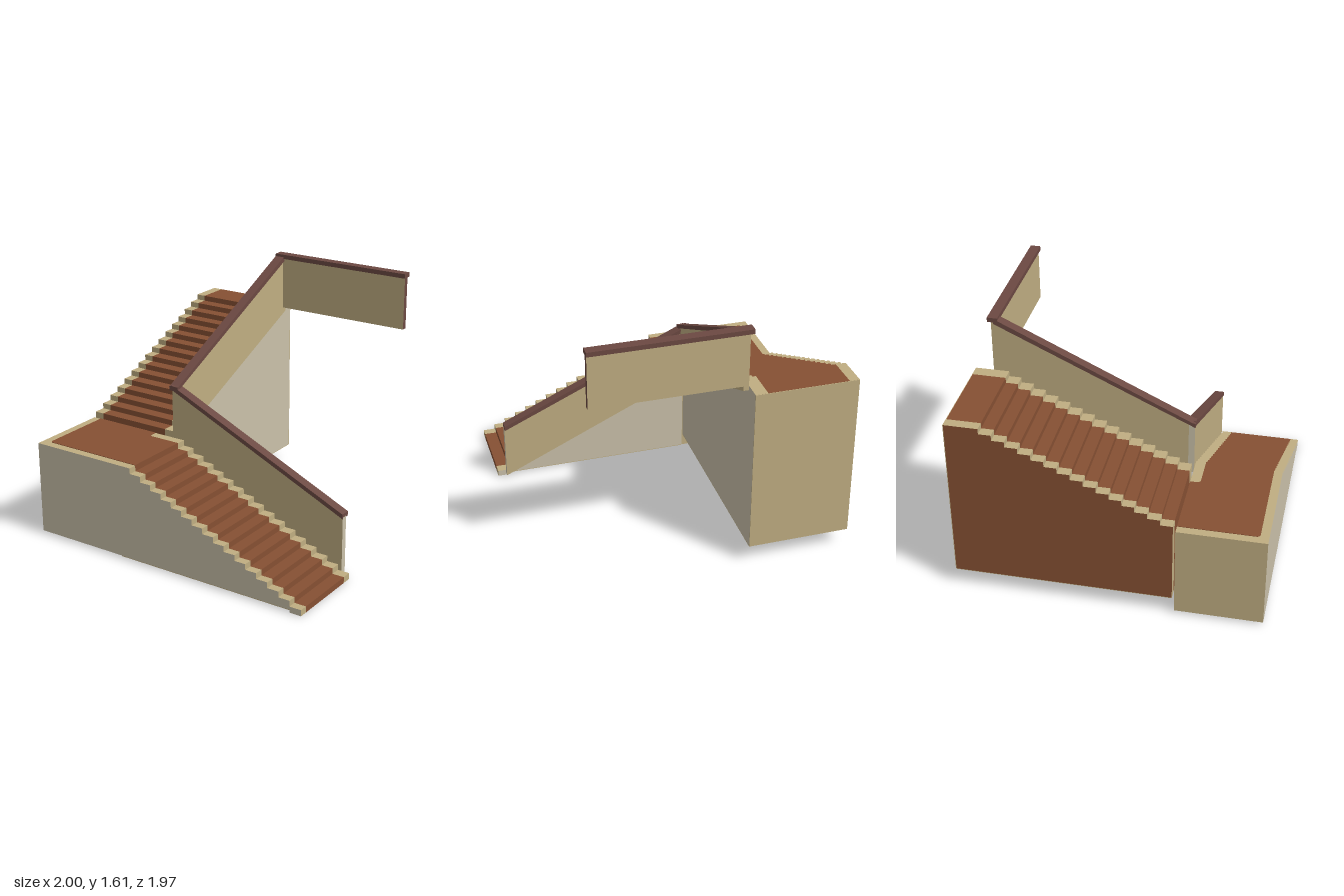
import * as THREE from 'three';

const mat = (name, color) => {
  const m = new THREE.MeshStandardMaterial({ color });
  m.name = name;
  return m;
};

export function createModel() {
  const group = new THREE.Group();
  const tan = mat('tan', 0xc0ae82);
  const carpet = mat('carpet brown', 0x865033);
  const stone = mat('pale stone', 0xcac1aa);
  const wood = mat('dark wood', 0x6c4942);

  const add = (name, geometry, material) => {
    const mesh = new THREE.Mesh(geometry, material);
    mesh.name = name;
    group.add(mesh);
    return mesh;
  };
  // box given by its limits
  const box = (name, x0, x1, y0, y1, z0, z1, material) => {
    const g = new THREE.BoxGeometry(x1 - x0, y1 - y0, z1 - z0);
    g.translate((x0 + x1) / 2, (y0 + y1) / 2, (z0 + z1) / 2);
    return add(name, g, material);
  };
  const toShape = (points) => new THREE.Shape(points.map(([a, b]) => new THREE.Vector2(a, b)));
  // profile in (x, y), extruded from z0 to z1
  const alongZ = (name, points, z0, z1, material) => {
    const g = new THREE.ExtrudeGeometry(toShape(points), { depth: z1 - z0, bevelEnabled: false });
    return add(name, g.translate(0, 0, z0), material);
  };
  // profile in (-z, y), extruded from x0 to x1
  const alongX = (name, points, x0, x1, material) => {
    const g = new THREE.ExtrudeGeometry(toShape(points), { depth: x1 - x0, bevelEnabled: false });
    return add(name, g.rotateY(Math.PI / 2).translate(x0, 0, 0), material);
  };

  const STEPS = 16;

  // Lower flight: descends towards +x
  const lower = [[-0.335, 0.02], [-0.335, 0.64]];
  for (let i = 0; i < STEPS; i++) {
    const x = -0.25 + 0.078 * i;
    lower.push([x, 0.64 - 0.0375 * i], [x, 0.64 - 0.0375 * (i + 1)]);
  }
  lower.push([1, 0.04], [1, 0], [0.92, 0], [0.92, 0.02]);
  alongZ('lowerStepsInnerBorder', lower, 0.425, 0.49, [stone, tan]);
  alongZ('lowerStepsCarpet', lower, 0.49, 0.93, carpet);
  alongZ('lowerStepsOuterBorder', lower, 0.93, 0.985, [stone, tan]);
  box('lowerFlightUnderside', -0.335, 0.92, 0.016, 0.02, 0.425, 0.985, tan);

  // Corner landing with its carpet
  box('landing', -1, -0.335, 0.02, 0.64, 0.425, 0.985, [stone, tan, tan, stone, stone, tan]);
  const rug = new THREE.Shape();
  rug.moveTo(-0.945, -0.425);
  rug.lineTo(-0.945, -0.915);
  rug.lineTo(-0.93, -0.93);
  rug.lineTo(-0.25, -0.93);
  rug.lineTo(-0.25, -0.49);
  rug.lineTo(-0.465, -0.49);
  rug.lineTo(-0.48, -0.475);
  rug.lineTo(-0.48, -0.425);
  const rugGeometry = new THREE.ExtrudeGeometry(rug, { depth: 0.003, bevelEnabled: false });
  add('landingCarpet', rugGeometry.rotateX(-Math.PI / 2).translate(0, 0.64, 0), carpet);

  // Upper flight: climbs towards the back
  const upper = [[-0.41, 0.12]];
  for (let i = 0; i < STEPS; i++) {
    const u = -0.41 + 0.0787 * i;
    upper.push([u, 0.64 + 0.03625 * i], [u, 0.64 + 0.03625 * (i + 1)]);
  }
  upper.push([0.985, 1.22], [0.985, 0.12]);
  alongX('upperStepsOuterBorder', upper, -1, -0.935, [carpet, tan]);
  alongX('upperStepsCarpet', upper, -0.935, -0.415, carpet);
  alongX('upperStepsInnerBorder', upper, -0.415, -0.335, [stone, tan]);
  box('upperFlightUnderside', -1, -0.335, 0.116, 0.12, -0.985, 0.41, tan);
  box('upperFlightBack', -1, -0.335, 0.12, 1.219, -0.989, -0.985, tan);

  // Balustrade panels
  alongZ('lowerPanel', [[-0.335, 0.61], [-0.335, 0.98], [0.945, 0.4], [0.945, 0.02]],
    0.385, 0.425, [tan, stone]);
  alongX('upperPanel', [[-0.385, 0.63], [-0.385, 0.99], [0.87, 1.58], [0.87, 1.19]],
    -0.335, -0.3, tan);
  box('topPanel', -0.335, 0.655, 1.22, 1.58, -0.87, -0.835, [wood, tan, tan, tan, tan, tan]);

  // Handrails capping the panels
  alongZ('lowerHandrail', [[-0.335, 0.97], [-0.335, 1.0], [0.945, 0.422], [0.945, 0.392]],
    0.365, 0.43, wood);
  alongX('upperHandrail', [[-0.43, 0.965], [-0.43, 0.995], [-0.41, 1.0], [0.85, 1.6], [0.85, 1.565]],
    -0.355, -0.29, wood);
  box('topHandrail', -0.355, 0.66, 1.575, 1.605, -0.888, -0.823, wood);

  return group;
}
